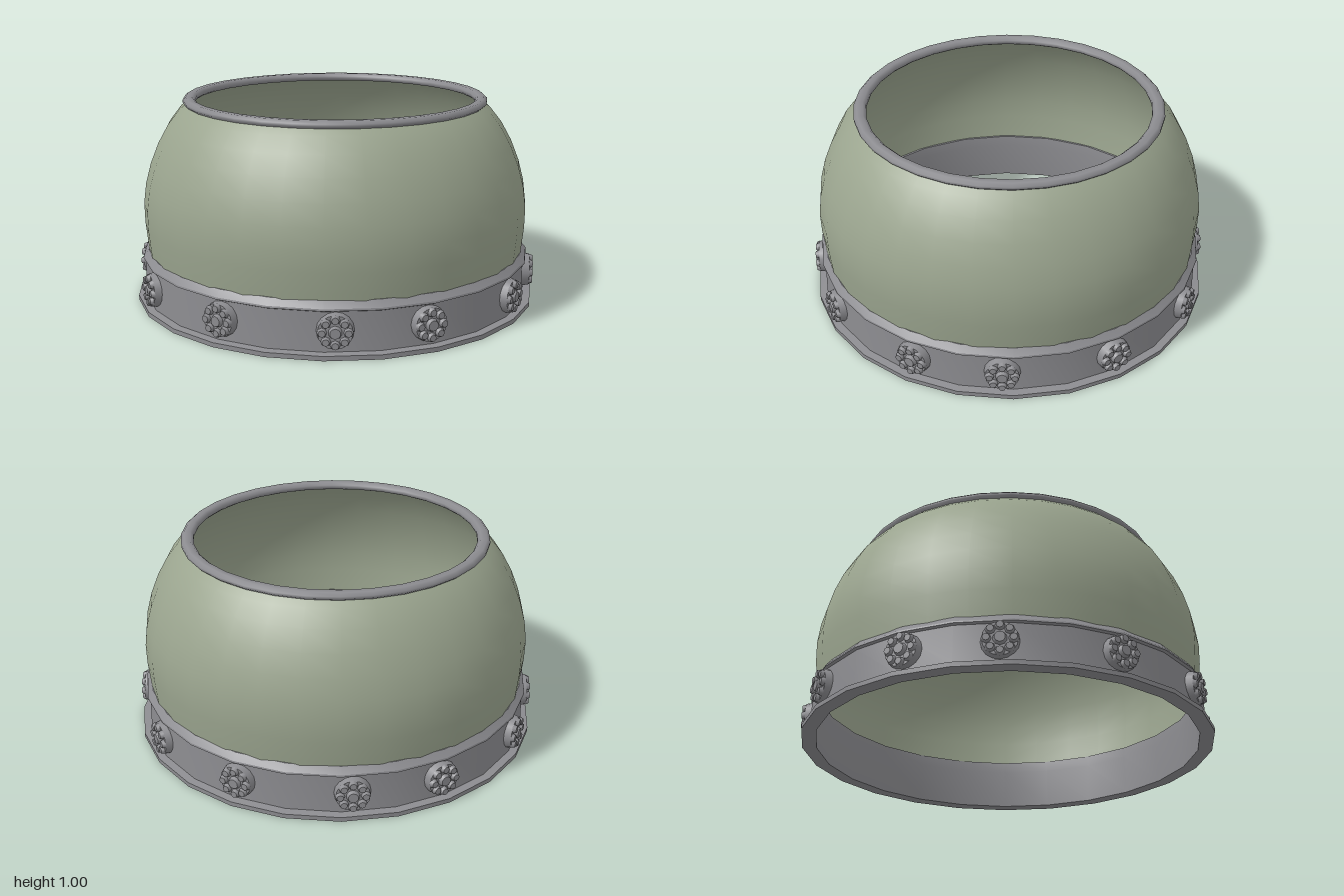
import * as THREE from 'three';
import { toCreasedNormals } from 'three/addons/utils/BufferGeometryUtils.js';

const green = new THREE.MeshStandardMaterial({ color: 0x9ba58f, side: THREE.DoubleSide });
green.name = 'sage green';
const grey = new THREE.MeshStandardMaterial({ color: 0x8c8c90, side: THREE.DoubleSide });
grey.name = 'metal grey';

function lathe(name, profile, segments, material, crease) {
  const points = profile.map(([r, y]) => new THREE.Vector2(r, y));
  let geometry = new THREE.LatheGeometry(points, segments);
  if (crease) geometry = toCreasedNormals(geometry, crease);
  const mesh = new THREE.Mesh(geometry, material);
  mesh.name = name;
  return mesh;
}

// Round flower-shaped rivet, facing +z with its back at z = 0
function makeStud() {
  const stud = new THREE.Group();
  stud.name = 'flowerStud';
  const add = (name, rTop, rBottom, depth, x, y, z, sides) => {
    const geometry = new THREE.CylinderGeometry(rTop, rBottom, depth, sides).rotateX(Math.PI / 2);
    const mesh = new THREE.Mesh(geometry, grey);
    mesh.name = name;
    mesh.position.set(x, y, z + depth / 2);
    stud.add(mesh);
  };
  add('studBase', 0.078, 0.085, 0.04, 0, 0, 0, 16);
  add('studCentre', 0.024, 0.032, 0.02, 0, 0, 0.038, 10);
  for (let i = 0; i < 8; i++) {
    const a = (i / 8) * Math.PI * 2;
    add('studPetal', 0.016, 0.023, 0.018, Math.cos(a) * 0.058, Math.sin(a) * 0.058, 0.038, 8);
  }
  return stud;
}

export function createModel() {
  const model = new THREE.Group();
  model.name = 'domedCollar';

  // Open domed shell
  model.add(lathe('shell', [
    [0.935, 0.2], [0.943, 0.28], [0.953, 0.38], [0.955, 0.48], [0.942, 0.58],
    [0.915, 0.68], [0.875, 0.78], [0.825, 0.87], [0.77, 0.94], [0.725, 0.98],
  ], 32, green));

  // Rolled ring around the upper opening
  model.add(lathe('topRing', [
    [0.7, 0.965], [0.735, 0.965], [0.75, 0.978], [0.75, 0.99], [0.735, 1.003],
    [0.705, 1.003], [0.69, 0.99], [0.69, 0.975], [0.7, 0.965],
  ], 32, grey, 0.9));

  // Lower band with bottom flange and bevelled top lip
  model.add(lathe('baseBand', [
    [0.93, 0], [1, 0], [1, 0.022], [0.962, 0.026], [0.957, 0.21], [0.97, 0.216],
    [0.968, 0.225], [0.942, 0.256], [0.93, 0.256], [0.925, 0.2], [0.93, 0],
  ], 24, grey, 0.4));

  // Three studs per quarter, mirrored around the band
  for (const sx of [-1, 1]) {
    for (const sz of [-1, 1]) {
      for (const degrees of [16, 48, 73.5]) {
        const a = THREE.MathUtils.degToRad(degrees);
        const x = sx * Math.sin(a), z = sz * Math.cos(a);
        const stud = makeStud();
        stud.position.set(x * 0.944, 0.125, z * 0.944);
        stud.rotation.y = Math.atan2(x, z);
        model.add(stud);
      }
    }
  }
  return model;
}
